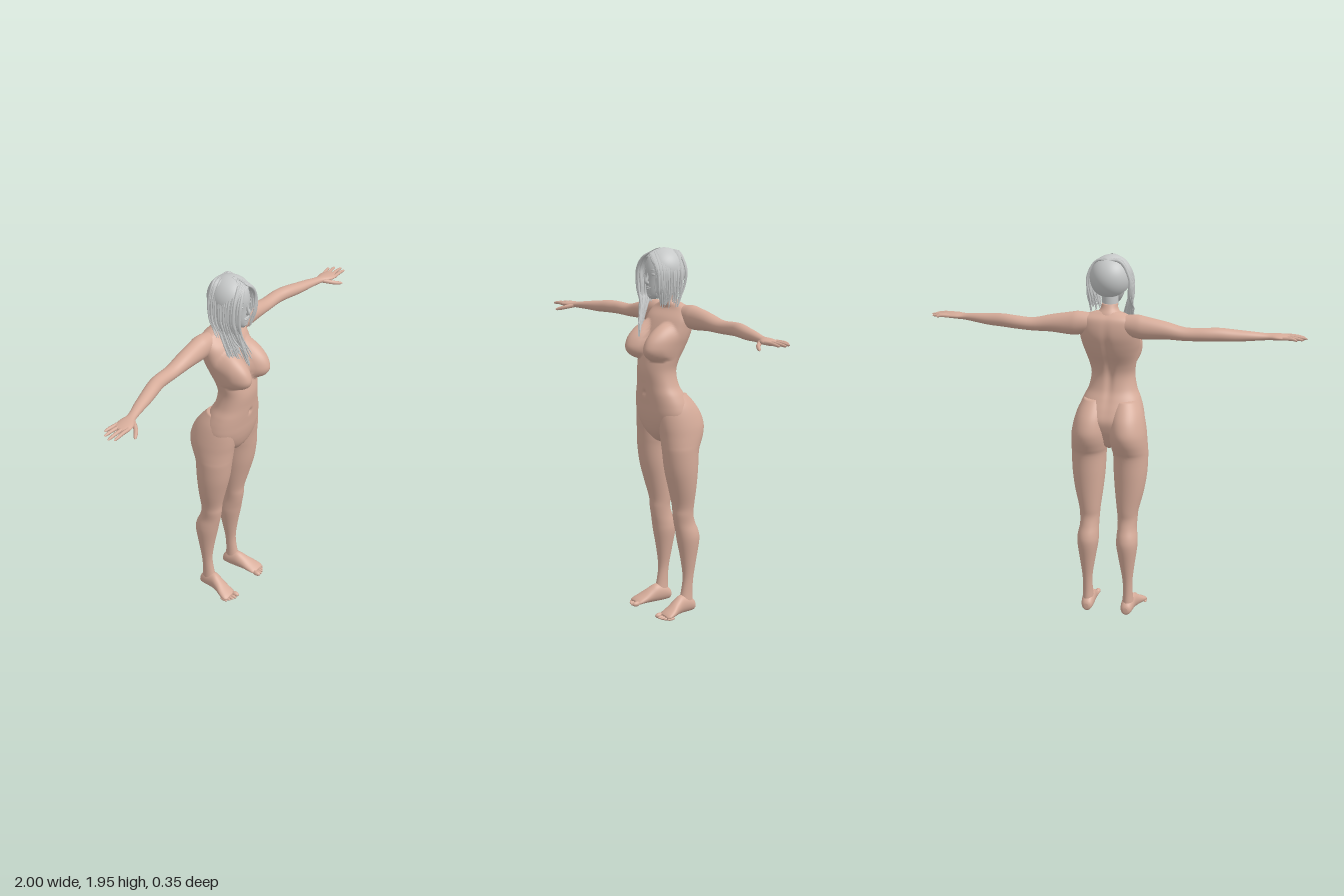
import * as THREE from 'three';

const skin = new THREE.MeshStandardMaterial({ color: 0xd6ac9a });
skin.name = 'skin';
const grey = new THREE.MeshStandardMaterial({ color: 0xc6c8c8, side: THREE.DoubleSide });
grey.name = 'pale grey';

let seed = 7;
const rand = () => (seed = (seed * 16807) % 2147483647) / 2147483647;
const { lerp, smoothstep } = THREE.MathUtils;
const bump = (d, w) => Math.exp(-(d * d) / (w * w));

function addMesh(group, name, geometry, material) {
  const mesh = new THREE.Mesh(geometry, material);
  mesh.name = name;
  group.add(mesh);
  return mesh;
}

// Smoothly interpolates between section rows
function sample(rows, t) {
  const i = Math.min(Math.floor(t), rows.length - 2), f = t - i;
  const at = k => rows[Math.max(0, Math.min(rows.length - 1, k))];
  return rows[i].map((b, c) => {
    const a = at(i - 1)[c], d = at(i + 1)[c], e = at(i + 2)[c];
    return b + 0.5 * f * (d - a + f * (2 * a - 5 * b + 4 * d - e + f * (3 * (b - d) + e - a)));
  });
}

// Closed skin over oval sections, in rising order;
// row = [position on axis, centre a, centre b, radius a, radius b]
function loft(rows, { axis = 'y', side = 1, n = 32, steps = 4, power = 2, rule } = {}) {
  const pos = [], index = [], count = (rows.length - 1) * steps + 1;
  const place = (s, a, b) => {
    const v = axis === 'y' ? new THREE.Vector3(a, s, b)
      : axis === 'x' ? new THREE.Vector3(s, a, b) : new THREE.Vector3(a, b, s);
    if (rule) rule(v);
    pos.push(v.x * side, v.y, v.z);
  };
  const oval = c => Math.sign(c) * Math.pow(Math.abs(c), 2 / power);
  for (let j = 0; j < count; j++) {
    const [s, a, b, ra, rb] = sample(rows, j / steps);
    for (let i = 0; i < n; i++) {
      const u = (i / n) * Math.PI * 2;
      place(s, a + ra * oval(Math.cos(u)), b + rb * oval(Math.sin(u)));
    }
  }
  const first = rows[0], last = rows[rows.length - 1];
  place(first[0], first[1], first[2]);
  place(last[0], last[1], last[2]);
  const flip = (axis === 'y') === (side > 0);
  const tri = (a, b, c) => (flip ? index.push(a, c, b) : index.push(a, b, c));
  for (let i = 0; i < n; i++) {
    const k = (i + 1) % n, top = (count - 1) * n;
    for (let j = 0; j < count - 1; j++) {
      const p = j * n + i, q = j * n + k;
      tri(p, q, p + n);
      tri(q, q + n, p + n);
    }
    tri(count * n, k, i);
    tri(count * n + 1, top + i, top + k);
  }
  const g = new THREE.BufferGeometry();
  g.setAttribute('position', new THREE.Float32BufferAttribute(pos, 3));
  g.setIndex(index);
  g.computeVertexNormals();
  return g;
}

// Tube along points whose radius follows a function of 0..1
function taper(points, radius, segments = 12, sides = 8) {
  const curve = new THREE.CatmullRomCurve3(points.map(p => new THREE.Vector3(...p)));
  const g = new THREE.TubeGeometry(curve, segments, 1, sides);
  const p = g.attributes.position, v = new THREE.Vector3();
  for (let i = 0; i < p.count; i++) {
    const t = Math.floor(i / (sides + 1)) / segments, c = curve.getPointAt(t);
    v.fromBufferAttribute(p, i).sub(c).multiplyScalar(radius(t)).add(c);
    p.setXYZ(i, v.x, v.y, v.z);
  }
  return g;
}

function ellipsoid(group, name, material, [x, y, z], [rx, ry, rz]) {
  const mesh = addMesh(group, name, new THREE.SphereGeometry(1, 24, 16), material);
  mesh.position.set(x, y, z);
  mesh.scale.set(rx, ry, rz);
}

// Upright rows given as height, centre x, front z, back z, half width
const upright = rows => rows.map(([y, x, f, b, w]) => [y, x, (f + b) / 2, w, (f - b) / 2]);

const torsoRows = upright([
  [0.935, 0, 0.02, -0.05, 0.015], [0.955, 0, 0.055, -0.075, 0.05], [1.0, 0, 0.088, -0.1, 0.115],
  [1.05, 0, 0.106, -0.118, 0.16], [1.1, 0, 0.116, -0.125, 0.176], [1.15, 0, 0.121, -0.106, 0.168],
  [1.2, 0, 0.126, -0.078, 0.15], [1.25, 0, 0.13, -0.053, 0.127], [1.32, 0, 0.135, -0.042, 0.114],
  [1.38, 0, 0.126, -0.055, 0.122], [1.45, 0, 0.108, -0.09, 0.138], [1.5, 0, 0.092, -0.11, 0.15],
  [1.55, 0, 0.068, -0.124, 0.156], [1.6, 0, 0.038, -0.125, 0.157], [1.64, 0, 0, -0.115, 0.14],
  [1.665, 0, -0.012, -0.09, 0.085], [1.675, 0, -0.02, -0.08, 0.04],
]);

// Ankle up to the hip, where the back swells into the seat
const legRows = upright([
  [0.03, 0.112, -0.025, -0.105, 0.028], [0.06, 0.112, -0.023, -0.107, 0.03], [0.12, 0.112, -0.039, -0.105, 0.026],
  [0.2, 0.112, -0.049, -0.111, 0.027], [0.3, 0.11, -0.038, -0.128, 0.041], [0.4, 0.108, -0.019, -0.145, 0.056],
  [0.45, 0.107, -0.01, -0.14, 0.056], [0.5, 0.104, 0, -0.12, 0.051], [0.55, 0.104, 0.007, -0.107, 0.053],
  [0.6, 0.104, 0.01, -0.11, 0.058], [0.7, 0.11, 0.035, -0.115, 0.076], [0.8, 0.113, 0.06, -0.12, 0.088],
  [0.9, 0.113, 0.074, -0.125, 0.092], [0.94, 0.109, 0.078, -0.141, 0.095], [0.99, 0.104, 0.083, -0.162, 0.097],
  [1.04, 0.1, 0.09, -0.168, 0.096], [1.1, 0.095, 0.094, -0.15, 0.089], [1.15, 0.09, 0.09, -0.118, 0.078],
  [1.2, 0.083, 0.07, -0.075, 0.058],
]);

const footRows = [
  [-0.122, 0.11, 0.03, 0.012, 0.015], [-0.112, 0.11, 0.033, 0.027, 0.03], [-0.08, 0.111, 0.045, 0.034, 0.045],
  [-0.03, 0.114, 0.05, 0.035, 0.05], [0.01, 0.122, 0.04, 0.038, 0.04], [0.05, 0.132, 0.027, 0.045, 0.027],
  [0.085, 0.137, 0.017, 0.046, 0.017], [0.1, 0.135, 0.013, 0.036, 0.01],
];

const armRows = [
  [0.06, 1.61, -0.06, 0.045, 0.045], [0.15, 1.606, -0.065, 0.06, 0.052], [0.2, 1.601, -0.067, 0.058, 0.05],
  [0.3, 1.595, -0.065, 0.045, 0.045], [0.4, 1.583, -0.065, 0.034, 0.038], [0.5, 1.586, -0.06, 0.034, 0.036],
  [0.57, 1.587, -0.045, 0.034, 0.037], [0.65, 1.582, -0.025, 0.03, 0.034], [0.72, 1.58, -0.008, 0.024, 0.029],
  [0.8, 1.577, 0.015, 0.017, 0.024], [0.85, 1.577, 0.027, 0.016, 0.041], [0.9, 1.575, 0.032, 0.012, 0.041],
  [0.912, 1.575, 0.032, 0.007, 0.032],
];

const headRows = [
  [1.695, 0, 0.06, 0.02, 0.026], [1.715, 0, 0.045, 0.04, 0.052], [1.75, 0, 0.03, 0.058, 0.071],
  [1.8, 0, 0.018, 0.069, 0.084], [1.85, 0, 0.01, 0.075, 0.094], [1.9, 0, 0, 0.07, 0.09], [1.935, 0, -0.005, 0.045, 0.06],
];

// Spine groove, navel and rounded bust
function sculptTorso(v) {
  if (v.z < 0) {
    v.z += 0.012 * bump(v.x, 0.02) * bump(v.y - 1.38, 0.18);
    return;
  }
  v.z -= 0.012 * bump(v.x, 0.01) * bump(v.y - 1.21, 0.014);
  const dx = (Math.abs(v.x) - 0.083) / 0.075, dy = (v.y - 1.455) / (v.y > 1.455 ? 0.125 : 0.075);
  const swell = Math.pow(Math.max(0, 1 - dx * dx - dy * dy), 0.75) * smoothstep(v.z, 0, 0.05);
  v.z += 0.085 * swell;
  v.x += Math.sign(v.x) * 0.014 * swell;
}

export function createModel() {
  const model = new THREE.Group();
  model.name = 'figure';
  addMesh(model, 'torso', loft(torsoRows, { n: 112, steps: 7, power: 2.25, rule: sculptTorso }), skin);
  addMesh(model, 'neck', loft([[1.62, 0, -0.06, 0.11, 0.05], [1.66, 0, -0.045, 0.066, 0.05],
    [1.685, 0, -0.033, 0.045, 0.045], [1.71, 0, -0.023, 0.041, 0.042]]), skin);

  for (const side of [1, -1]) {
    const label = side > 0 ? 'left' : 'right';
    const limb = new THREE.Group();
    limb.name = label + 'Limbs';
    model.add(limb);

    // Leg, foot and toes
    addMesh(limb, label + 'Leg', loft(legRows, { side, n: 40 }), skin);
    addMesh(limb, label + 'Foot', loft(footRows, { axis: 'z', side }), skin);
    for (let i = 0; i < 5; i++) {
      const r = i ? 0.0095 - i * 0.0005 : 0.014;
      ellipsoid(limb, label + 'Toe', skin, [side * (0.106 + i * 0.0165 + (i ? 0.004 : 0)), r, 0.108 - i * i * 0.0018], [r, r, 0.024]);
    }

    // Arm, fingers and thumb
    addMesh(limb, label + 'Arm', loft(armRows, { axis: 'x', side }), skin);
    const fingers = [[-0.003, 0.955, -0.018], [0.02, 0.985, 0.004], [0.043, 1, 0.037], [0.064, 0.985, 0.064]];
    const fingertip = t => 0.0098 * (1 - 0.25 * t) * Math.sqrt(Math.max(0.001, 1 - t ** 8));
    for (const [z0, x1, z1] of fingers) {
      addMesh(limb, label + 'Finger', taper([[side * 0.88, 1.577, z0], [side * 0.93, 1.578, (z0 + z1) / 2],
        [side * x1, 1.572, z1]], fingertip), skin);
    }
    addMesh(limb, label + 'Thumb', taper([[side * 0.815, 1.573, 0.035], [side * 0.85, 1.56, 0.08],
      [side * 0.895, 1.546, 0.11]], t => 1.25 * fingertip(t)), skin);
  }

  // Head and face
  const head = new THREE.Group();
  head.name = 'head';
  model.add(head);
  addMesh(head, 'upperNeck', loft([[1.66, 0, -0.022, 0.036, 0.036], [1.7, 0, -0.02, 0.041, 0.043],
    [1.78, 0, -0.01, 0.042, 0.05]]), grey);
  addMesh(head, 'face', loft(headRows, { n: 40 }), grey);
  addMesh(head, 'nose', taper([[0, 1.835, 0.098], [0, 1.805, 0.104], [0, 1.784, 0.112], [0, 1.776, 0.098]],
    t => 0.005 + 0.006 * t), grey);
  ellipsoid(head, 'upperLip', grey, [0, 1.754, 0.097], [0.02, 0.005, 0.008]);
  ellipsoid(head, 'lowerLip', grey, [0, 1.745, 0.095], [0.017, 0.006, 0.009]);
  ellipsoid(head, 'chin', grey, [0, 1.716, 0.084], [0.02, 0.016, 0.014]);
  for (const side of [1, -1]) {
    ellipsoid(head, 'eye', grey, [side * 0.029, 1.822, 0.086], [0.015, 0.007, 0.012]);
    addMesh(head, 'brow', taper([[side * 0.012, 1.838, 0.099], [side * 0.03, 1.845, 0.095],
      [side * 0.05, 1.838, 0.079]], () => 0.003, 8, 6), grey);
  }

  // Smooth hair cap, open toward the face
  const hair = new THREE.Group();
  hair.name = 'hair';
  model.add(hair);
  const capShape = new THREE.SphereGeometry(1, 48, 28, 0, Math.PI * 2, 0, 1.68);
  capShape.rotateX(-0.78).scale(0.108, 0.114, 0.12);
  addMesh(hair, 'hairCap', capShape, grey).position.set(0, 1.838, 0);

  // Locks swept from the centre parting, longer over the right shoulder
  for (const side of [1, -1]) {
    const locks = side > 0 ? 36 : 48;
    for (let i = 0; i < locks; i++) {
      const u = i / (locks - 1), j = (rand() - 0.5) * 0.018;
      const path = [
        [side * 0.004, lerp(1.928, 1.935, u) + 0.018 * Math.sin(Math.PI * u), lerp(0.09, -0.06, u)],
        [side * lerp(0.034, 0.062, u), lerp(1.907, 1.927, Math.sqrt(u)), lerp(0.103, -0.055, u)],
        [side * lerp(0.07, 0.108, Math.sqrt(u)), 1.845, lerp(0.108, -0.055, u) + j],
        [side * (lerp(0.068, 0.112, Math.sqrt(u)) + j), 1.75, lerp(0.105, -0.045, u) + j],
      ];
      if (side > 0) path.push([lerp(0.06, 0.108, u) + j, lerp(1.645, 1.72, rand()), lerp(0.085, -0.025, u)]);
      else {
        path.push([-lerp(0.055, 0.122, u) + j, lerp(1.65, 1.68, rand()), lerp(0.11, -0.005, u)]);
        if (u < 0.75) path.push([-lerp(0.02, 0.125, u) + j, lerp(1.5, 1.6, rand()), lerp(0.142, 0.06, u)]);
      }
      const width = 0.006 + rand() * 0.004;
      addMesh(hair, 'lock', taper(path, t => width * Math.min(1, 0.4 + t * 4) * Math.pow(1.02 - t, 0.4), 24, 6), grey);
    }
  }
  return model;
}
